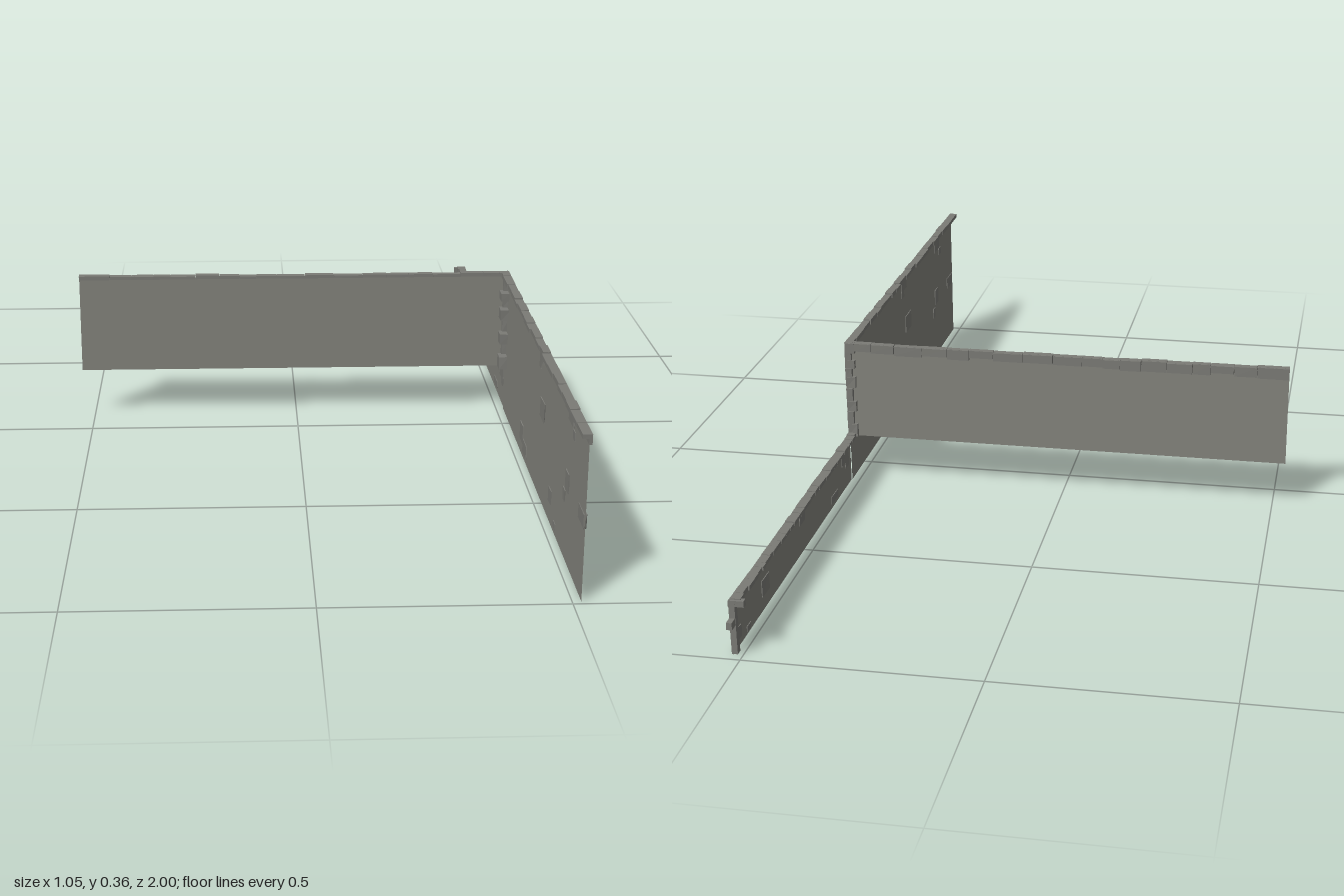
import * as THREE from 'three';

export function createModel() {
  const model = new THREE.Group();
  const plaster = new THREE.MeshStandardMaterial({ color: 0x83837c, side: THREE.DoubleSide });
  plaster.name = 'plaster grey';
  const stone = new THREE.MeshStandardMaterial({ color: 0x7b7b76, flatShading: true });
  stone.name = 'stone grey';

  // Small seeded generator for uneven stones
  let seed = 7;
  const rand = () => (seed = (seed * 16807) % 2147483647) / 2147483647;
  const vary = (a) => (rand() * 2 - 1) * a;

  function group(name) {
    const g = new THREE.Group();
    g.name = name;
    model.add(g);
    return g;
  }

  // Box whose eight corners are pushed inwards a little
  function addStone(parent, name, x0, x1, y0, y1, z0, z1, rough = 0.08) {
    const size = [x1 - x0, y1 - y0, z1 - z0];
    const geo = new THREE.BoxGeometry(...size);
    const p = geo.attributes.position;
    const shrink = Array.from({ length: 8 }, () => [0, 1, 2].map(() => 1 - rand() * rough * 2));
    for (let i = 0; i < p.count; i++) {
      const s = shrink[(p.getX(i) > 0 ? 1 : 0) + (p.getY(i) > 0 ? 2 : 0) + (p.getZ(i) > 0 ? 4 : 0)];
      p.setXYZ(i, p.getX(i) * s[0], p.getY(i) * s[1], p.getZ(i) * s[2]);
    }
    const mesh = new THREE.Mesh(geo, stone);
    mesh.name = name;
    mesh.position.set((x0 + x1) / 2, (y0 + y1) / 2, (z0 + z1) / 2);
    parent.add(mesh);
  }

  // Thin wall sheet
  function addSheet(name, w, h, x, y, z, turned) {
    const mesh = new THREE.Mesh(new THREE.PlaneGeometry(w, h), plaster);
    mesh.name = name;
    mesh.position.set(x, y, z);
    if (turned) mesh.rotation.y = Math.PI / 2;
    model.add(mesh);
  }

  // Calls place(start, end) for a row of stones of uneven length
  function row(from, to, length, place) {
    for (let a = from; a < to - 0.003;) {
      let b = a + length * (1 + vary(0.35));
      if (to - b < length * 0.4) b = to;
      place(a, b);
      a = b;
    }
  }

  // Three wall sheets
  addSheet('tallSideWall', 1.1, 0.347, 0.518, 0.1735, 0.44, true);
  addSheet('lowSideWall', 0.87, 0.118, 0.52, 0.059, -0.545, true);
  addSheet('backWall', 1.046, 0.235, -0.005, 0.2325, -0.104, false);

  // Coping stones on the tall side wall: top slab and outer face
  const tallCap = group('tallWallCoping');
  row(-0.115, 1, 0.056, (a, b) => {
    const top = 0.354 + vary(0.002);
    addStone(tallCap, 'copingTop', 0.503 + vary(0.002), 0.52, 0.343, top, a, b, 0.01);
    addStone(tallCap, 'copingFace', 0.515, 0.521 + vary(0.001), 0.334 + vary(0.004), top, a, b, 0.02);
  });

  // Coping stones on the back wall, hanging over its rear
  const backCap = group('backWallCoping');
  row(-0.529, 0.52, 0.056, (a, b) => {
    const top = 0.354 + vary(0.002);
    addStone(backCap, 'copingTop', a, b, 0.346, top, -0.114, -0.1 + vary(0.001), 0.01);
    addStone(backCap, 'copingFace', a, b, 0.332 + vary(0.004), top, -0.118 + vary(0.002), -0.106, 0.02);
  });

  // Small coping stones on the low wall
  const lowCap = group('lowWallCoping');
  row(-0.975, -0.112, 0.026, (a, b) => {
    addStone(lowCap, 'lowCopingStone', 0.501 + vary(0.002), 0.522, 0.114, 0.123 + vary(0.002), a, b, 0.02);
  });

  // Quoins stacked at the corner
  const quoins = group('cornerQuoins');
  let long = false;
  row(0.115, 0.335, 0.03, (a, b) => {
    long = !long;
    addStone(quoins, 'quoin', long ? 0.498 : 0.506, 0.522, a, b, -0.115, long ? -0.07 : -0.092, 0.04);
  });

  // End post of the low wall with its peg
  const post = group('lowWallEndPost');
  addStone(post, 'endPost', 0.511, 0.524, 0, 0.121, -0.98, -0.965, 0.01);
  addStone(post, 'endPostCap', 0.491, 0.525, 0.108, 0.122, -0.98, -0.967, 0.03);
  addStone(post, 'endPeg', 0.512, 0.524, 0.066, 0.082, -1, -0.978, 0.01);

  // Exposed stones on the outer faces: z, y, length, height
  const exposed = group('exposedStones');
  const patches = [
    [0.95, 0.165, 0.064, 0.032], [0.79, 0.17, 0.04, 0.045], [0.76, 0.13, 0.025, 0.03],
    [0.805, 0.315, 0.06, 0.032], [0.84, 0.29, 0.025, 0.02], [0.468, 0.206, 0.062, 0.048],
    [0.42, 0.3, 0.025, 0.025], [0.435, 0.32, 0.055, 0.03], [0.6, 0.06, 0.035, 0.035],
    [0.665, 0.02, 0.025, 0.015], [0.25, 0.03, 0.06, 0.035], [0.2, 0.053, 0.048, 0.05],
    [-0.16, 0.085, 0.06, 0.045], [-0.145, 0.06, 0.03, 0.022], [-0.255, 0.02, 0.055, 0.02],
    [-0.505, 0.08, 0.04, 0.025], [-0.77, 0.05, 0.055, 0.04], [-0.94, 0.03, 0.025, 0.03],
    [-0.885, 0.012, 0.025, 0.014],
  ];
  for (const [z, y, l, h] of patches) {
    const x = z > -0.11 ? 0.518 : 0.52;
    addStone(exposed, 'exposedStone', x - 0.002, x + 0.005, y - h / 2, y + h / 2, z - l / 2, z + l / 2);
  }

  return model;
}
